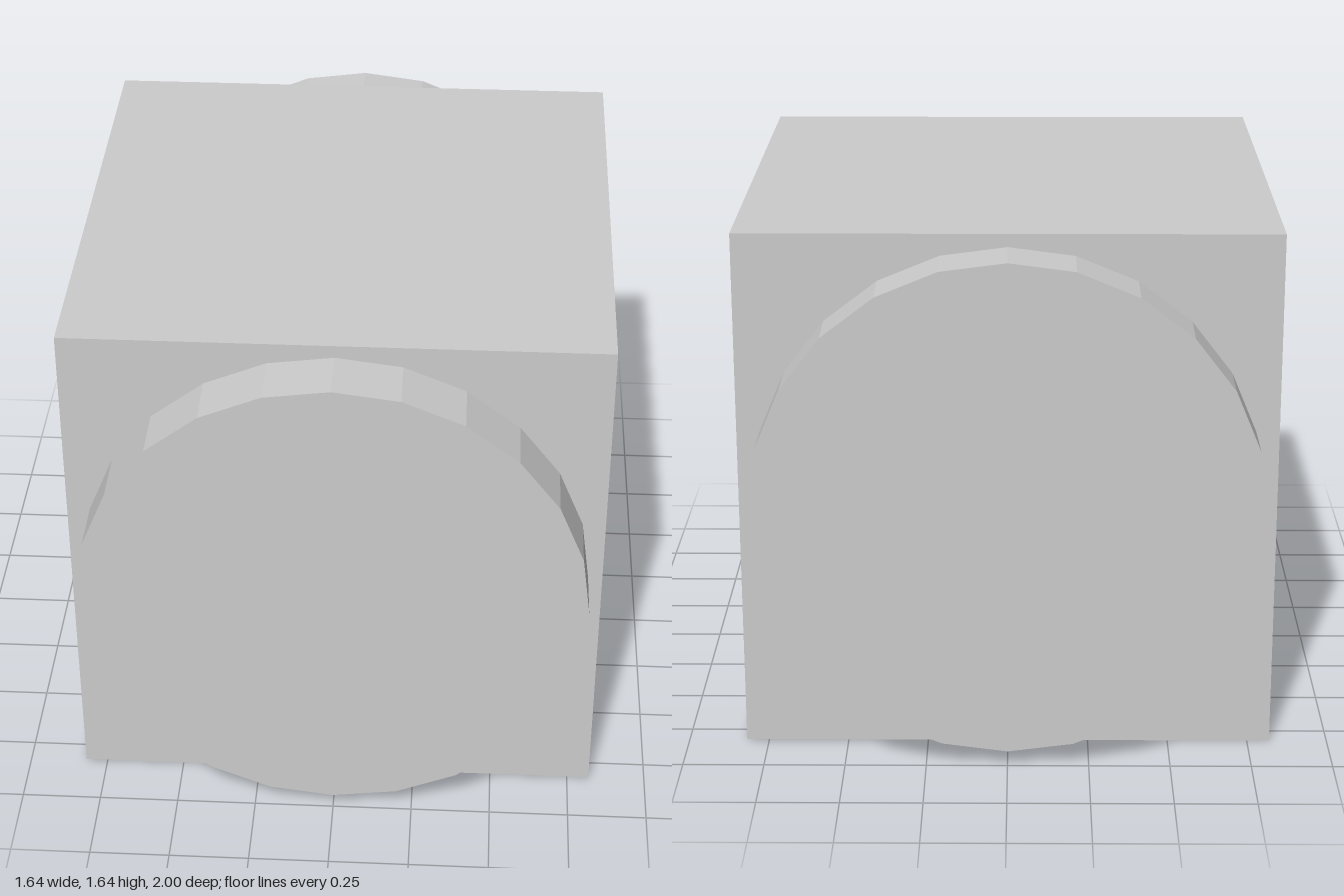
import * as THREE from 'three';

const SIZE = 1.64;    // cube edge
const RADIUS = 0.776; // drum radius
const LENGTH = 2;     // drum length, front to back

export function createModel() {
  const model = new THREE.Group();
  model.name = 'cubeWithDrum';
  const material = new THREE.MeshStandardMaterial({ color: 0xcccccc, flatShading: true });

  // Cube body standing on the ground
  const body = new THREE.Mesh(new THREE.BoxGeometry(SIZE, SIZE, SIZE), material);
  body.name = 'cubeBody';
  body.position.y = SIZE / 2;
  model.add(body);

  // 24-sided drum passing through the cube, showing as a disc at front and back
  const drum = new THREE.Mesh(new THREE.CylinderGeometry(RADIUS, RADIUS, LENGTH, 24), material);
  drum.name = 'drum';
  drum.rotation.x = Math.PI / 2;
  drum.position.y = SIZE / 2 + 0.004;
  model.add(drum);

  return model;
}
